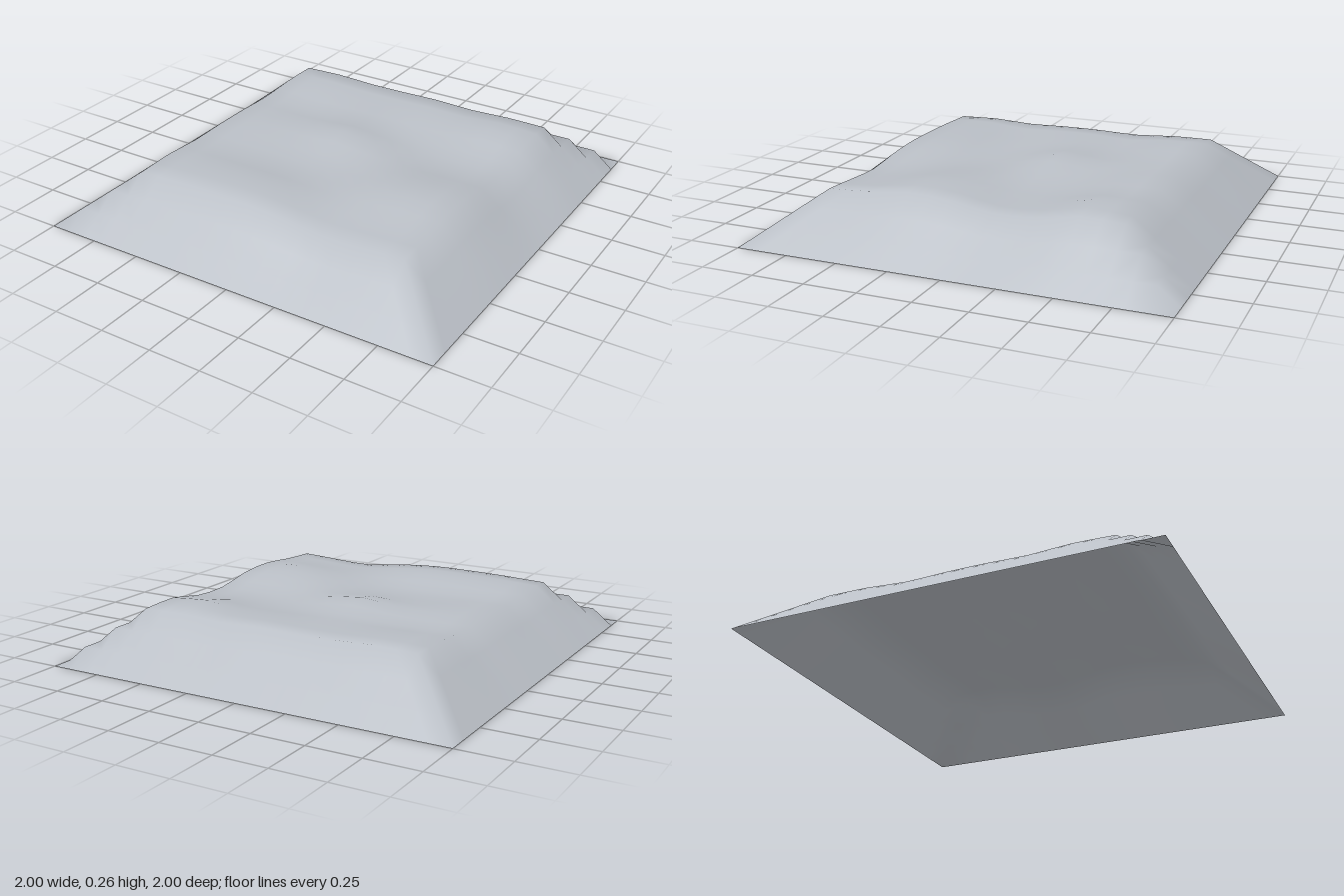
import * as THREE from 'three';

// Plateau heights in thousandths, every 0.2 units; rows run back to front, columns along +x
const HEIGHTS = [
  [245, 250, 242, 242, 245, 238, 245, 242],
  [243, 247, 238, 238, 242, 240, 262, 248],
  [230, 222, 222, 232, 220, 214, 220, 215],
  [235, 238, 242, 262, 238, 214, 211, 212],
  [235, 232, 226, 226, 226, 238, 248, 245],
  [230, 223, 221, 218, 222, 242, 262, 254],
  [240, 248, 252, 250, 232, 222, 230, 236],
  [234, 242, 246, 246, 232, 208, 215, 225],
];

// Catmull-Rom through a list of values at fractional position t
function spline(values, t) {
  const last = values.length - 1;
  const i = Math.min(Math.floor(t), last - 1);
  const f = t - i;
  const at = (k) => values[THREE.MathUtils.clamp(k, 0, last)];
  const [a, b, c, d] = [at(i - 1), at(i), at(i + 1), at(i + 2)];
  return b + 0.5 * f * (c - a + f * (2 * a - 5 * b + 4 * c - d + f * (3 * (b - c) + d - a)));
}

function plateauHeight(x, z) {
  const cell = (v) => THREE.MathUtils.clamp((v + 0.7) / 0.2, 0, 7);
  return spline(HEIGHTS.map((row) => spline(row, cell(x))), cell(z)) / 1000;
}

export function createModel() {
  const group = new THREE.Group();
  group.name = 'terrainTile';

  const stone = new THREE.MeshStandardMaterial({ color: 0xbabfc6, side: THREE.DoubleSide });
  stone.name = 'pale stone';

  // Square grid, turned so its cell diagonals run from back left to front right
  const geometry = new THREE.PlaneGeometry(2, 2, 20, 20);
  geometry.rotateX(-Math.PI / 2);
  geometry.rotateY(Math.PI / 2);

  // Raise the bumpy plateau and ramp it down to the ground at all four borders
  const position = geometry.attributes.position;
  for (let i = 0; i < position.count; i++) {
    const x = position.getX(i);
    const z = position.getZ(i);
    const border = 1 - Math.max(Math.abs(x), Math.abs(z));
    const ramp = THREE.MathUtils.clamp(border / 0.3, 0, 1);
    position.setY(i, ramp * plateauHeight(x, z));
  }
  geometry.computeVertexNormals();

  const ground = new THREE.Mesh(geometry, stone);
  ground.name = 'hillGround';
  group.add(ground);
  return group;
}
